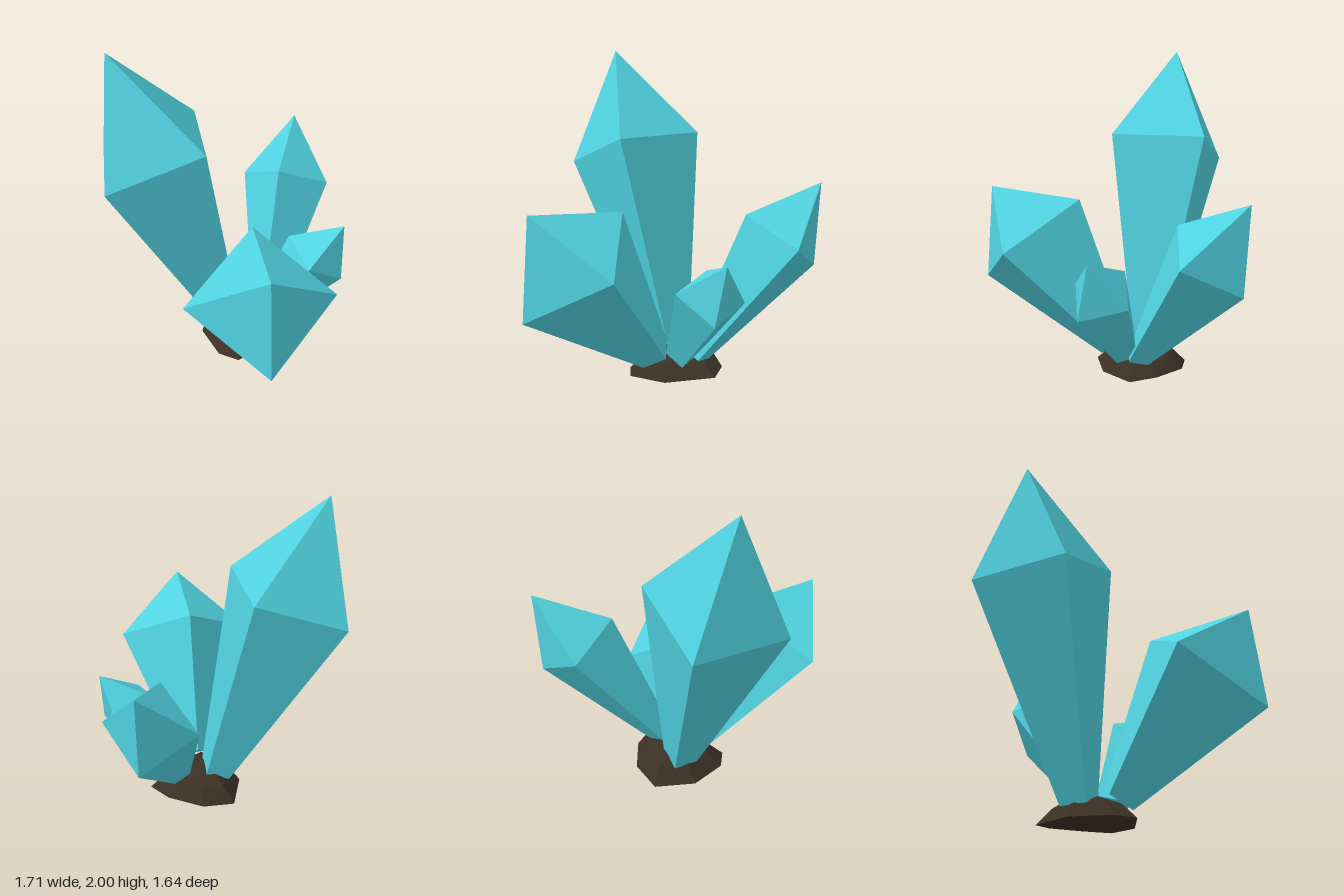
import * as THREE from 'three';
import { ConvexGeometry } from 'three/addons/geometries/ConvexGeometry.js';

const vec = (p) => new THREE.Vector3(...p);

// Four-sided crystal: a wide ring tapering down to a narrow root and up to a point
function crystalGeometry({ tip, ring, root, taper }) {
  const shoulder = ring.map(vec);
  const centre = new THREE.Vector3();
  shoulder.forEach((p) => centre.addScaledVector(p, 1 / shoulder.length));
  const foot = shoulder.map((p) => p.clone().sub(centre).multiplyScalar(taper).add(vec(root)));
  return new ConvexGeometry([vec(tip), ...shoulder, ...foot]);
}

const crystals = {
  tallBackCrystal: {
    tip: [-0.525, 2, -0.565],
    ring: [[-0.365, 1.27, -0.823], [-0.79, 1.275, -0.397], [-0.383, 1.48, 0.011], [0.045, 1.48, -0.42]],
    root: [-0.085, 0.12, -0.09], taper: 0.27,
  },
  wideFrontCrystal: {
    tip: [-0.758, 1.14, 0.705],
    ring: [[-0.86, 0.807, 0.2], [-0.319, 1.083, 0.28], [-0.26, 0.807, 0.82], [-0.796, 0.53, 0.745]],
    root: [-0.157, 0.14, 0.12], taper: 0.27,
  },
  sideCrystal: {
    tip: [0.85, 1.204, -0.19],
    ring: [[0.502, 0.854, -0.364], [0.393, 1.024, -0.011], [0.713, 0.852, 0.174], [0.822, 0.674, -0.175]],
    root: [0.09, 0.122, 0.092], taper: 0.27,
  },
  smallFrontCrystal: {
    tip: [0.32, 0.843, 0.535],
    ring: [[0.018, 0.65, 0.47], [0.256, 0.492, 0.572], [0.41, 0.566, 0.322], [0.175, 0.726, 0.22]],
    root: [0.005, 0.138, 0.121], taper: 0.45,
  },
};

export function createModel() {
  const model = new THREE.Group();
  model.name = 'crystalCluster';

  const crystalBlue = new THREE.MeshStandardMaterial({ color: 0x50d2e0 });
  crystalBlue.name = 'crystalBlue';
  const darkRock = new THREE.MeshStandardMaterial({ color: 0x3b3025 });
  darkRock.name = 'darkRock';

  const add = (name, geometry, material) => {
    const mesh = new THREE.Mesh(geometry, material);
    mesh.name = name;
    model.add(mesh);
  };

  for (const [name, spec] of Object.entries(crystals)) add(name, crystalGeometry(spec), crystalBlue);

  // Low rocky base: uneven outline, smaller upper rim and a blunt peak
  const outline = [
    [-0.335, 0, 0.03], [-0.31, 0, 0.17], [-0.08, 0, 0.245], [0.23, 0.04, 0.22],
    [0.26, 0.045, 0.05], [0.19, 0.03, -0.18], [0.02, 0, -0.31], [-0.22, 0, -0.2],
  ];
  const rim = outline.map(([x, , z]) => [x * 0.69, 0.1, z * 0.7]);
  const peak = [[-0.06, 0.18, 0], [-0.04, 0.18, -0.09]];
  add('rockBase', new ConvexGeometry([...outline, ...rim, ...peak].map(vec)), darkRock);

  return model;
}
